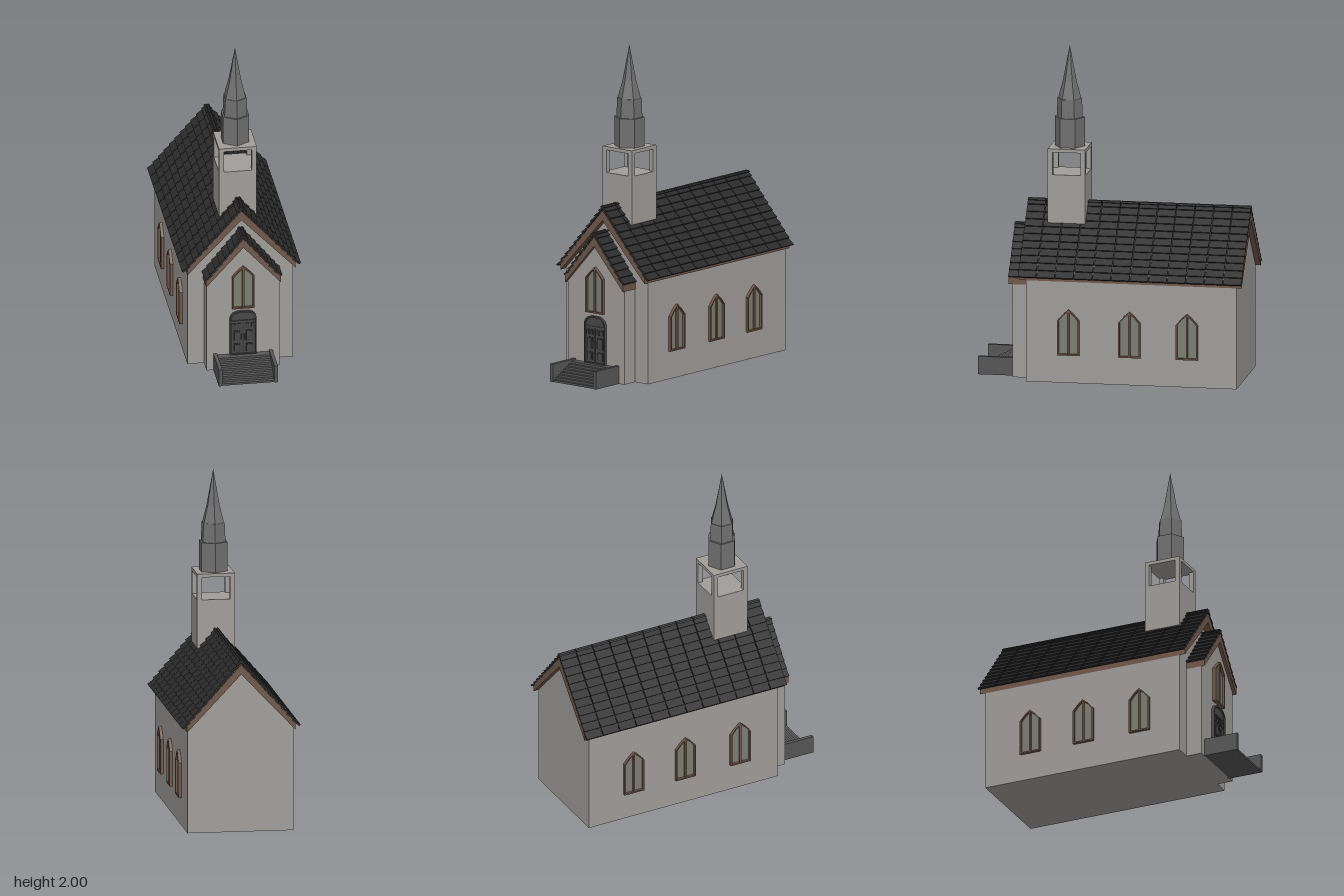
import * as THREE from 'three';
import { mergeGeometries } from 'three/addons/utils/BufferGeometryUtils.js';

const mat = (color) => new THREE.MeshStandardMaterial({ color, flatShading: true });
const M = {
  wall: mat(0xa09d9a), wood: mat(0x70584a), tile: mat(0x2b2b2b), spire: mat(0x707070),
  stone: mat(0x565656), door: mat(0x484848), panel: mat(0x3a3a3a), glass: mat(0x7c7d73),
};

function add(parent, name, geo, material) {
  const m = new THREE.Mesh(geo, material);
  m.name = name;
  parent.add(m);
  return m;
}

// Box given by its limits on each axis
function box(x0, x1, y0, y1, z0, z1) {
  return new THREE.BoxGeometry(x1 - x0, y1 - y0, z1 - z0)
    .translate((x0 + x1) / 2, (y0 + y1) / 2, (z0 + z1) / 2);
}

const shapeOf = (pts) => new THREE.Shape(pts.map(([x, y]) => new THREE.Vector2(x, y)));

// Extrude a shape from z0 to z1
function slab(shape, z0, z1) {
  return new THREE.ExtrudeGeometry(shape, { depth: z1 - z0, bevelEnabled: false, curveSegments: 10 })
    .translate(0, 0, z0);
}

const house = (w, eave, apex) => shapeOf([[-w, 0], [w, 0], [w, eave], [0, apex], [-w, eave]]);

// Gabled roof: wooden chevron underneath, overlapping tilted tiles on top
function roof(name, o) {
  const g = new THREE.Group();
  g.name = name;
  const { w, top, bottom, eaveTop, eaveBottom } = o.board;
  add(g, 'roofBoards', slab(shapeOf([
    [0, top], [-w, eaveTop], [-w, eaveBottom], [0, bottom], [w, eaveBottom], [w, eaveTop],
  ]), o.z0 + 0.003, o.z1 - 0.004), M.wood);

  const len = Math.hypot(o.half, o.apex - o.eave);
  const ux = o.half / len, uy = (o.eave - o.apex) / len;
  const step = len / o.rows, t = 0.012, pitch = (o.z1 - o.z0) / o.cols, gap = 0.005;
  const tiles = [];
  for (const s of [1, -1]) {
    const at = (d, n) => [s * (ux * d - uy * n), o.apex + uy * d + ux * n];
    for (let r = 0; r < o.rows; r++) {
      const d0 = r * step, d1 = d0 + step;
      const back = r ? d0 - 0.008 : d0;
      const shape = shapeOf([at(back, -t), at(d1, 0), at(d1, -t), at(back, -2 * t)]);
      for (let c = 0; c < o.cols; c++) {
        const z = o.z0 + c * pitch;
        tiles.push(slab(shape, z + gap / 2, z + pitch - gap / 2));
      }
    }
  }
  add(g, 'roofTiles', mergeGeometries(tiles), M.tile);
  return g;
}

// Pointed window facing +z, sill at the origin
function pointedWindow(name) {
  const outline = (i) => [
    [-0.067 + i, i], [0.067 - i, i], [0.067 - i, 0.213 - i * 0.3], [0.03, 0.254 - i], [0, 0.28 - i * 1.3],
    [-0.03, 0.254 - i], [-0.067 + i, 0.213 - i * 0.3],
  ];
  const g = new THREE.Group();
  g.name = name;
  const frame = shapeOf(outline(0));
  frame.holes.push(new THREE.Path(outline(0.009).map(([x, y]) => new THREE.Vector2(x, y))));
  add(g, 'windowFrame', slab(frame, -0.01, 0.02), M.wood);
  add(g, 'windowGlass', slab(shapeOf(outline(0.007)), -0.01, 0.005), M.glass);
  add(g, 'windowMullion', box(-0.006, 0.006, 0.005, 0.27, -0.005, 0.016), M.wood);
  return g;
}

// Arched double door with raised panels
function archedDoor() {
  const g = new THREE.Group();
  g.name = 'door';
  const arch = (w, y0, shoulder, top) => {
    const s = new THREE.Shape();
    s.moveTo(-w, y0);
    s.lineTo(w, y0);
    s.lineTo(w, shoulder);
    s.bezierCurveTo(w * 0.85, top + 0.001, w * 0.4, top, 0, top);
    s.bezierCurveTo(-w * 0.4, top, -w * 0.85, top + 0.001, -w, shoulder);
    s.closePath();
    return s;
  };
  const frame = arch(0.08, 0.1, 0.345, 0.39);
  frame.holes.push(arch(0.072, 0.106, 0.34, 0.381));
  add(g, 'doorFrame', slab(frame, 0.595, 0.618), M.door);
  add(g, 'doorLeaves', slab(arch(0.075, 0.1, 0.342, 0.385), 0.595, 0.609), M.door);
  add(g, 'doorTransom', box(-0.073, 0.073, 0.318, 0.328, 0.6, 0.615), M.door);
  add(g, 'doorMeetingStile', box(-0.004, 0.004, 0.106, 0.32, 0.6, 0.614), M.panel);
  for (const s of [1, -1]) {
    for (const [a, b, y0, y1] of [
      [0.013, 0.034, 0.275, 0.308], [0.043, 0.064, 0.275, 0.308],
      [0.018, 0.06, 0.19, 0.26], [0.018, 0.06, 0.12, 0.172],
    ]) {
      const p = s > 0 ? [a, b] : [-b, -a];
      add(g, 'doorPanel', box(p[0], p[1], y0, y1, 0.6, 0.614), M.panel);
      add(g, 'doorPanelField', box(p[0] + 0.005, p[1] - 0.005, y0 + 0.006, y1 - 0.006, 0.6, 0.618), M.door);
    }
    add(g, 'doorHandle', box(s * 0.009 - 0.003, s * 0.009 + 0.003, 0.2, 0.235, 0.605, 0.62), M.stone);
  }
  return g;
}

export function createModel() {
  const model = new THREE.Group();
  model.name = 'church';

  // Walls
  add(model, 'naveWalls', slab(house(0.32, 0.64, 0.985), -0.78, 0.5), M.wall);
  add(model, 'porchWalls', slab(house(0.22, 0.595, 0.845), 0.49, 0.6), M.wall);

  // Roofs
  model.add(roof('naveRoof', {
    half: 0.36, apex: 1.062, eave: 0.648, z0: -0.815, z1: 0.545, rows: 11, cols: 12,
    board: { w: 0.327, top: 1.025, bottom: 0.965, eaveTop: 0.665, eaveBottom: 0.62 },
  }));
  model.add(roof('porchRoof', {
    half: 0.235, apex: 0.912, eave: 0.62, z0: 0.5, z1: 0.625, rows: 8, cols: 1,
    board: { w: 0.226, top: 0.878, bottom: 0.82, eaveTop: 0.61, eaveBottom: 0.57 },
  }));

  // Bell tower with four open sides
  const tower = new THREE.Group();
  tower.name = 'bellTower';
  tower.position.z = 0.29;
  model.add(tower);
  const h = 0.114, o = 0.085;
  add(tower, 'towerBase', box(-h, h, 0.93, 1.225, -h, h), M.wall);
  for (const sx of [1, -1]) for (const sz of [1, -1]) {
    const c = (h + o) / 2, r = (h - o) / 2;
    add(tower, 'towerPost', box(sx * c - r, sx * c + r, 1.225, 1.365, sz * c - r, sz * c + r), M.wall);
  }
  add(tower, 'towerCap', box(-h, h, 1.362, 1.383, -h, h), M.wall);

  // Hexagonal stepped spire: top radius, bottom radius, y range
  for (const [rt, rb, y0, y1] of [
    [0.091, 0.091, 1.383, 1.56], [0.074, 0.079, 1.56, 1.675],
    [0.042, 0.07, 1.675, 1.78], [0, 0.042, 1.78, 2],
  ]) {
    add(tower, 'spireTier', new THREE.CylinderGeometry(rt, rb, y1 - y0, 6).translate(0, (y0 + y1) / 2, 0), M.spire);
  }

  // Windows: three on each side and one above the door
  for (const s of [1, -1]) for (const z of [0.24, -0.13, -0.48]) {
    const win = pointedWindow('sideWindow');
    win.position.set(s * 0.318, 0.17, z);
    win.rotation.y = s * Math.PI / 2;
    model.add(win);
  }
  const front = pointedWindow('frontWindow');
  front.position.set(0, 0.41, 0.602);
  model.add(front);

  model.add(archedDoor());

  // Entrance steps between two low side walls
  const steps = new THREE.Group();
  steps.name = 'entranceSteps';
  model.add(steps);
  const n = 8;
  for (let i = 0; i < n; i++) {
    add(steps, 'step', box(-0.158, 0.158, i * 0.1 / n, (i + 1) * 0.1 / n, 0.59, 0.81 - i * 0.185 / n), M.stone);
  }
  for (const s of [1, -1]) {
    add(steps, 'stepWall', box(s * 0.168 - 0.011, s * 0.168 + 0.011, 0, 0.11, 0.59, 0.815), M.stone);
  }
  return model;
}
